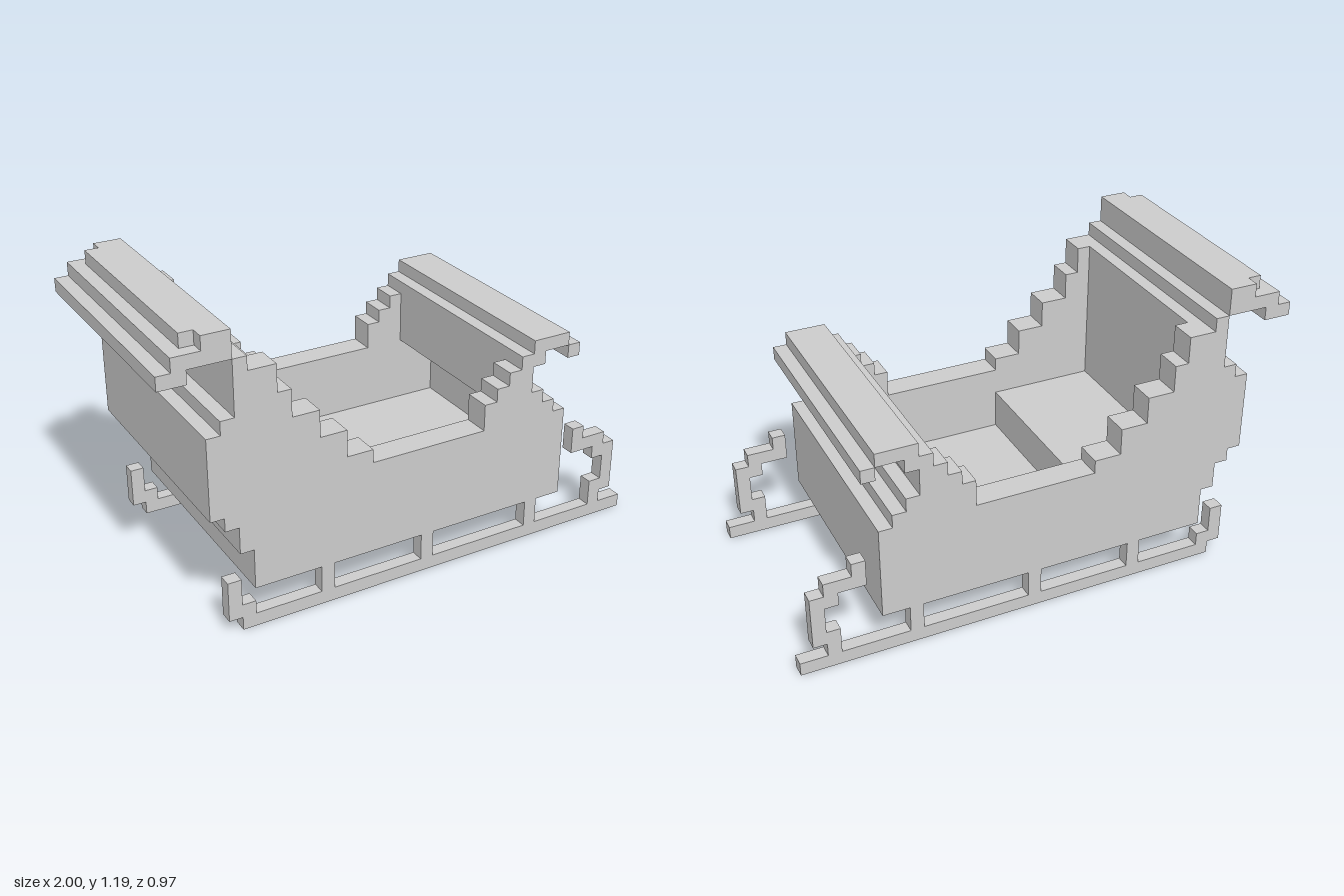
import * as THREE from 'three';

const U = 2 / 37; // one grid block
const material = new THREE.MeshStandardMaterial({ color: 0xcccccc, flatShading: true });

// Extrudes a stepped profile (in blocks) between two block depths along z
function slab(name, points, z0, z1) {
  const shape = new THREE.Shape(points.map(([i, j]) => new THREE.Vector2(-1 + i * U, j * U)));
  const geometry = new THREE.ExtrudeGeometry(shape, { depth: (z1 - z0) * U, bevelEnabled: false });
  geometry.translate(0, 0, z0 * U);
  const mesh = new THREE.Mesh(geometry, material);
  mesh.name = name;
  return mesh;
}

const rect = (x0, y0, x1, y1) => [[x0, y0], [x1, y0], [x1, y1], [x0, y1]];

// Outside of the front: curled scroll, then down to the bottom
const frontOutline = [
  [28, 15], [28, 16], [31, 16], [31, 15], [32, 15], [32, 14], [31, 14], [31, 15],
  [29, 15], [29, 14], [28, 14], [28, 12], [29, 12], [29, 11], [30, 11], [30, 10],
  [31, 10], [31, 3],
];
// Outside of the tall back, from the bottom up and over its scroll
const backOutline = [
  [6, 3], [6, 6], [5, 6], [5, 8], [4, 8], [4, 9], [3, 9], [3, 15], [4, 15], [4, 16],
  [5, 16], [5, 20], [2, 20], [2, 19], [0, 19], [0, 20], [1, 20], [1, 21], [3, 21],
  [3, 22], [5, 22], [5, 20], [6, 20], [6, 19],
];
// Stepped upper edge of the side walls, back to front
const sideRim = [
  [8, 19], [8, 17], [9, 17], [9, 15], [11, 15], [11, 13], [13, 13], [13, 11], [15, 11],
  [15, 10], [24, 10], [24, 12], [25, 12], [25, 13], [26, 13], [26, 14], [27, 14], [27, 15],
];
// Back rest, seat, foot well and front panel, back to front
const cabin = [[7, 19], [7, 8], [15, 8], [15, 5], [30, 5], [30, 10], [27, 10], [27, 15]];

// Curl at the front end of a runner
const runnerCurl = [
  [34, 1], [34, 3], [35, 3], [35, 5], [34, 5], [34, 6], [32, 6], [32, 8], [33, 8], [33, 7],
  [35, 7], [35, 6], [36, 6], [36, 2], [35, 2], [35, 1],
];
const runnerTail = [[5, 1], [4, 1], [4, 4], [5, 4], [5, 2], [6, 2], [6, 1]];

export function createModel() {
  const model = new THREE.Group();
  model.name = 'sleigh';

  // Body
  model.add(slab('seatBody', [...backOutline, ...cabin, ...frontOutline], -7, 7));
  model.add(slab('backScrollLip', rect(2, 21, 3, 22), -8, 8));

  // Side walls and runners, one per side
  for (const [side, wall, rail] of [['left', [7, 9], [8, 9]], ['right', [-9, -7], [-9, -8]]]) {
    model.add(slab(side + 'SideWall', [...backOutline, ...sideRim, ...frontOutline], ...wall));

    const runner = new THREE.Group();
    runner.name = side + 'Runner';
    runner.add(slab('rail', rect(5, 0, 37, 1), ...rail));
    runner.add(slab('frontCurl', runnerCurl, ...rail));
    runner.add(slab('rearTail', runnerTail, ...rail));
    for (const x of [11, 19, 28]) runner.add(slab('post', rect(x, 1, x + 1, 3), ...rail));
    model.add(runner);
  }
  return model;
}
